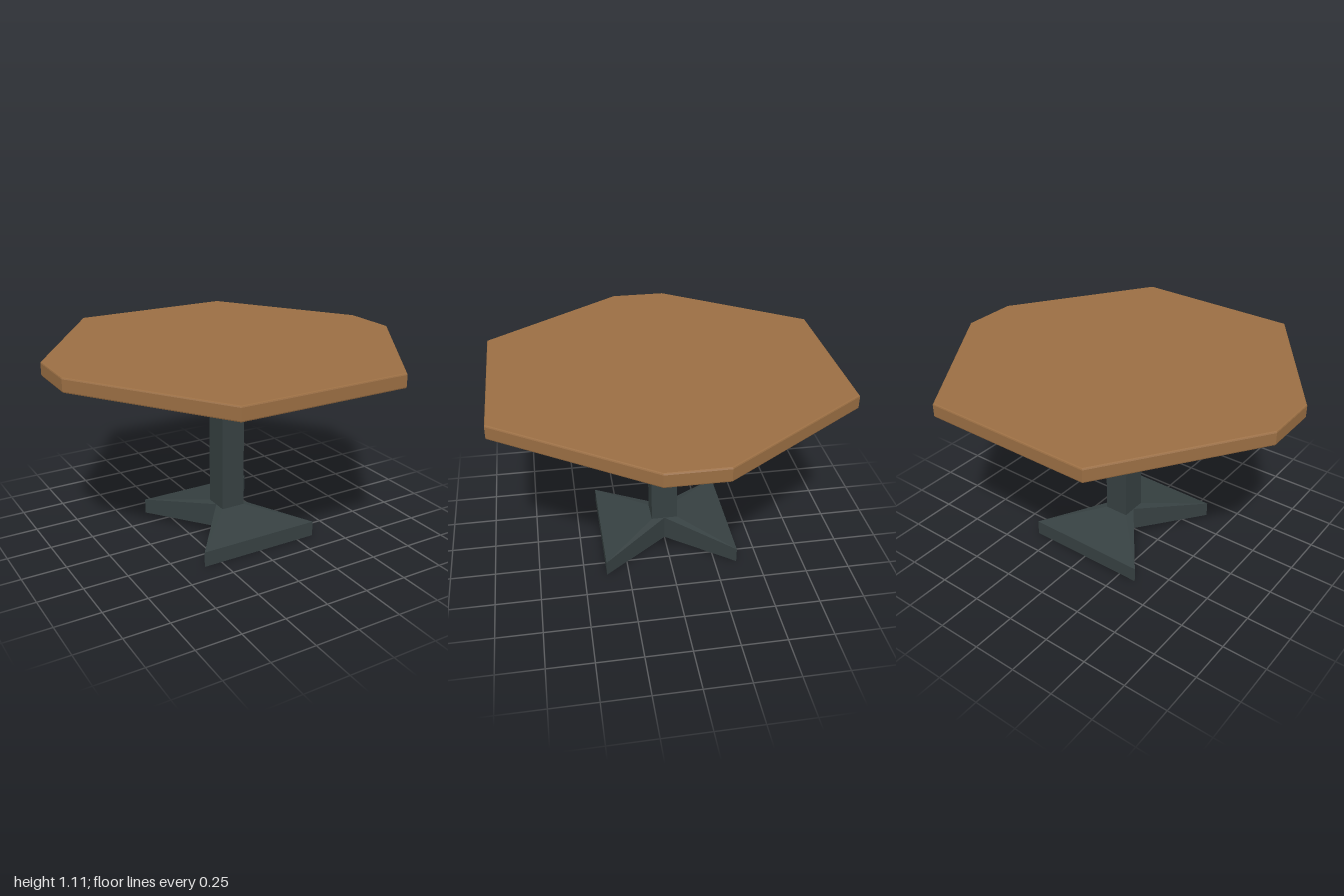
import * as THREE from 'three';

// Flat-shaded geometry from a list of triangles and quads of [x, y, z] corners
function fromFaces(faces) {
  const pos = [];
  for (const [a, ...rest] of faces)
    for (let i = 0; i + 1 < rest.length; i++) pos.push(...a, ...rest[i], ...rest[i + 1]);
  const g = new THREE.BufferGeometry();
  g.setAttribute('position', new THREE.Float32BufferAttribute(pos, 3));
  g.computeVertexNormals();
  return g;
}

// Hollow flared foot, open underneath, fanning from the column out to +z
function footGeometry() {
  const sides = [1, -1].map((s) => ({
    waistTop: [0.07 * s, 0.145, 0],
    waistBottom: [0.07 * s, 0, 0],
    corner: [0.07 * s, 0.145, 0.075],
    endTop: [0.355 * s, 0.088, 0.375],
    endBottom: [0.355 * s, 0, 0.375],
  }));
  const [l, r] = sides;
  const faces = [
    [l.corner, r.corner, r.endTop, l.endTop],
    [r.endTop, r.endBottom, l.endBottom, l.endTop],
  ];
  sides.forEach((p, i) => {
    const walls = [
      [p.waistTop, p.corner, p.endTop],
      [p.waistTop, p.endTop, p.endBottom, p.waistBottom],
    ];
    for (const w of walls) faces.push(i ? w.reverse() : w);
  });
  return fromFaces(faces);
}

export function createModel() {
  const wood = new THREE.MeshStandardMaterial({ name: 'wood', color: 0x9a6e43 });
  const metal = new THREE.MeshStandardMaterial({ name: 'darkMetal', color: 0x364041, side: THREE.DoubleSide });
  const table = new THREE.Group();
  table.name = 'table';

  const add = (name, geometry, material, x = 0, y = 0, z = 0) => {
    const mesh = new THREE.Mesh(geometry, material);
    mesh.name = name;
    mesh.position.set(x, y, z);
    table.add(mesh);
    return mesh;
  };

  // Eight-sided top with slightly softened edges
  const bevel = 0.008;
  const outline = [[1, 0.155], [0.47, 0.932], [-0.47, 0.932], [-1, 0.155],
    [-1, -0.155], [-0.47, -0.932], [0.47, -0.932], [1, -0.155]];
  const shape = new THREE.Shape(outline.map(([x, z]) => new THREE.Vector2(x, z)));
  const top = new THREE.ExtrudeGeometry(shape, {
    depth: 0.078 - 2 * bevel, bevelEnabled: true, bevelThickness: bevel,
    bevelSize: bevel, bevelOffset: -bevel, bevelSegments: 2,
  });
  top.rotateX(-Math.PI / 2);
  add('tableTop', top, wood, 0, 1.035 + bevel, 0);

  // Column and the wooden plate under the top
  add('column', new THREE.BoxGeometry(0.14, 0.955, 0.15), metal, 0, 0.5575, 0);
  add('columnPlate', new THREE.BoxGeometry(0.004, 0.1, 0.09), wood, 0.07, 0.985, 0.028);

  // Mirrored pair of feet
  const foot = footGeometry();
  add('frontFoot', foot, metal);
  add('backFoot', foot, metal).rotation.y = Math.PI;

  return table;
}
